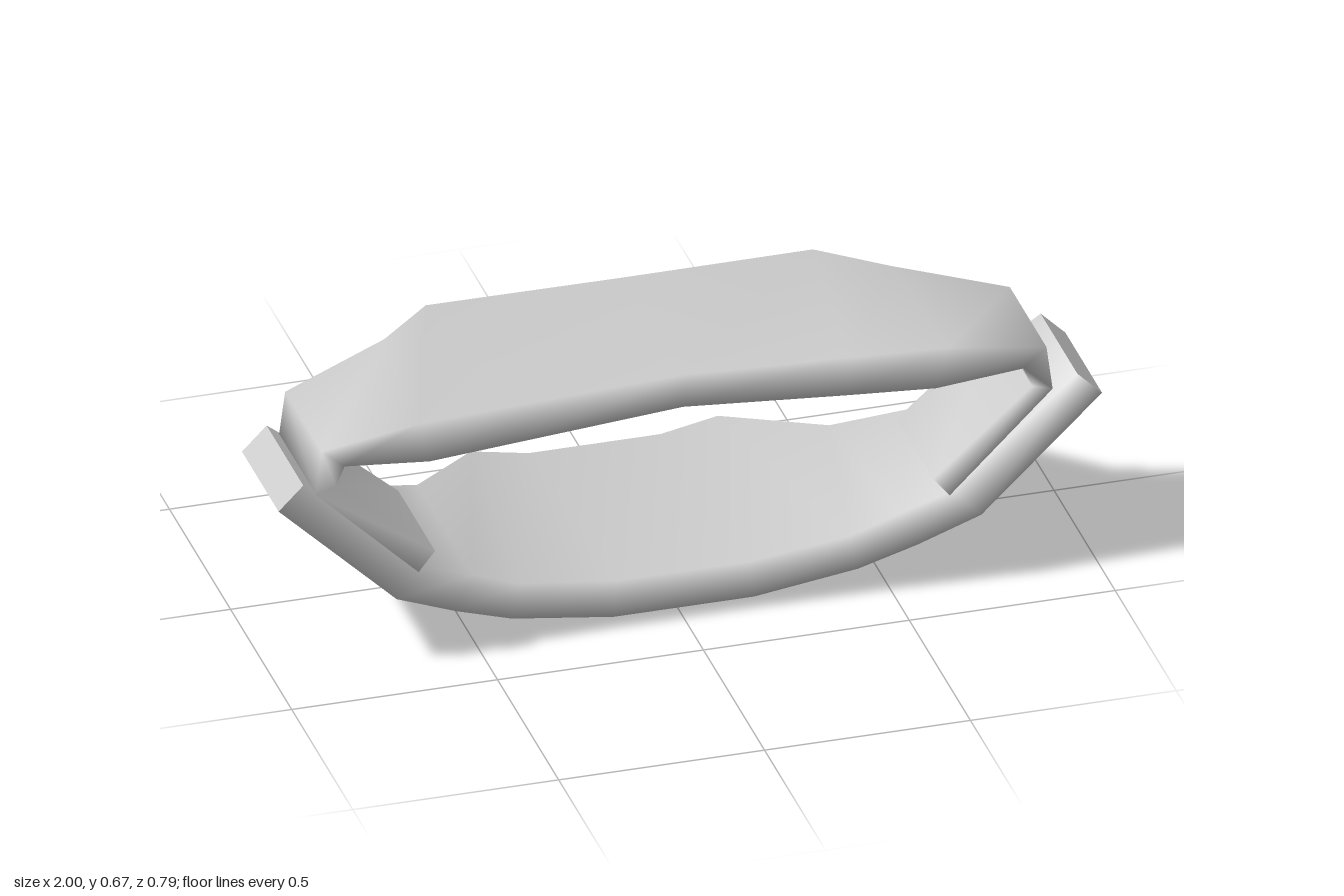
import * as THREE from 'three';

const material = new THREE.MeshStandardMaterial({ color: 0xcccccc });

// Station: front outer x,y, front inner x,y, front z, back outer x,y, back inner x,y, back z
const corners = ([ax, ay, bx, by, zf, cx, cy, dx, dy, zb]) => [
  [ax, ay, zf], [bx, by, zf], [dx, dy, zb], [cx, cy, zb],
];

// Mirrors a station across x = 0; extra pushes it further out
const mirror = (s, extra = 0) => s.map((v, i) => ([0, 2, 5, 7].includes(i) ? -v - extra : v));

// Joins four-cornered cross-sections into a smooth closed band with sharp end faces
function band(name, stations) {
  const rings = stations.map(corners);
  const n = rings.length;
  const positions = [...rings, rings[0], rings[n - 1]].flat(2);
  const index = [];
  for (let i = 0; i < n - 1; i++) {
    for (let j = 0; j < 4; j++) {
      const a = i * 4 + j, b = i * 4 + (j + 1) % 4;
      index.push(a, a + 4, b + 4, a, b + 4, b);
    }
  }
  const s = n * 4, e = s + 4;
  index.push(s, s + 1, s + 2, s, s + 2, s + 3);
  index.push(e, e + 2, e + 1, e, e + 3, e + 2);
  const geometry = new THREE.BufferGeometry();
  geometry.setAttribute('position', new THREE.Float32BufferAttribute(positions, 3));
  geometry.setIndex(index);
  geometry.computeVertexNormals();
  const mesh = new THREE.Mesh(geometry, material);
  mesh.name = name;
  return mesh;
}

export function createModel() {
  const group = new THREE.Group();
  group.name = 'curvedGuard';

  // Lower cradle, centre to raised tip; its tail narrows towards the back
  const cradle = [
    [0.17, 0.03, 0.16, 0.125, 0.34, 0.17, 0.0, 0.16, 0.075, -0.39],
    [0.42, 0.07, 0.4, 0.16, 0.35, 0.335, 0.03, 0.3, 0.1, -0.393],
    [0.56, 0.12, 0.52, 0.21, 0.365, 0.54, 0.085, 0.5, 0.17, -0.155],
    [0.71, 0.185, 0.64, 0.26, 0.382, 0.725, 0.2, 0.65, 0.27, -0.005],
    [1.0, 0.47, 0.94, 0.53, 0.393, 1.0, 0.47, 0.94, 0.53, 0.093],
  ];
  group.add(band('lowerCradle', [
    ...cradle.map((s) => mirror(s)).reverse(), ...cradle,
  ]));

  // Upper bridge, from the tip of the folded-in flap to the middle of the slab
  const bridge = [
    [0.63, 0.255, 0.59, 0.305, 0.393, 0.63, 0.255, 0.59, 0.305, 0.093],
    [0.88, 0.5, 0.83, 0.515, 0.393, 0.88, 0.5, 0.83, 0.515, 0.093],
    [0.865, 0.613, 0.81, 0.565, 0.393, 0.865, 0.613, 0.81, 0.565, 0.093],
    [0.63, 0.643, 0.6, 0.54, 0.383, 0.6, 0.668, 0.6, 0.55, 0.012],
    [0.4, 0.637, 0.4, 0.537, 0.352, 0.455, 0.655, 0.45, 0.55, -0.138],
  ];
  const middle = [0, 0.645, 0, 0.56, 0.335, 0, 0.653, 0, 0.56, -0.138];
  group.add(band('upperBridge', [
    ...bridge, middle, ...bridge.map((s) => mirror(s, 0.03)).reverse(),
  ]));
  return group;
}
